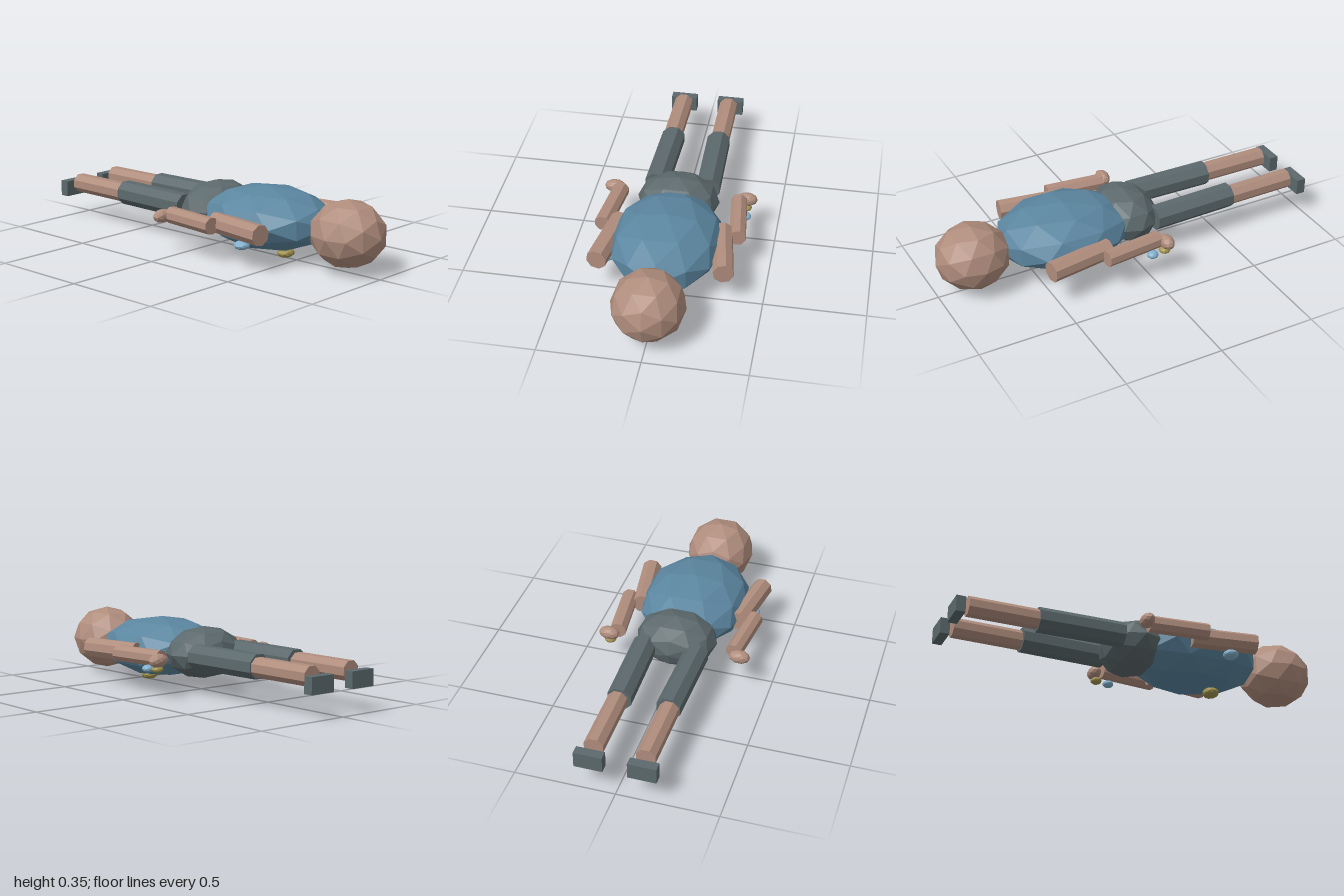
import * as THREE from 'three';

const mat = (name, color) => {
  const m = new THREE.MeshStandardMaterial({ color, flatShading: true });
  m.name = name;
  return m;
};

export function createModel() {
  const group = new THREE.Group();
  const skin = mat('skin', 0xb08d7d);
  const shirt = mat('shirt blue', 0x5b86a0);
  const trousers = mat('trouser grey', 0x5c696c);
  const yellow = mat('pebble yellow', 0xa0924d);
  const paleBlue = mat('pebble blue', 0x82b0cc);

  const add = (name, geometry, material) => {
    const mesh = new THREE.Mesh(geometry, material);
    mesh.name = name;
    group.add(mesh);
    return mesh;
  };

  // Faceted ellipsoid
  const blob = (name, material, pos, radii) => {
    const geo = new THREE.IcosahedronGeometry(1, 1).scale(...radii);
    add(name, geo, material).position.set(...pos);
  };

  // Eight-sided limb between two points
  const limb = (name, material, from, to, radius) => {
    const a = new THREE.Vector3(...from), b = new THREE.Vector3(...to);
    const dir = b.clone().sub(a);
    const geo = new THREE.CylinderGeometry(radius, radius, dir.length(), 8).rotateY(Math.PI / 8);
    const mesh = add(name, geo, material);
    mesh.position.copy(a).add(b).multiplyScalar(0.5);
    mesh.quaternion.setFromUnitVectors(new THREE.Vector3(0, 1, 0), dir.normalize());
  };

  // Body, lying flat with the head toward +z
  blob('head', skin, [0, 0.188, 0.81], [0.18, 0.167, 0.19]);
  blob('torso', shirt, [0, 0.19, 0.32], [0.28, 0.156, 0.36]);
  blob('pelvis', trousers, [0, 0.192, -0.02], [0.21, 0.133, 0.163]);

  // Arms and legs
  for (const [side, s] of [['left', 1], ['right', -1]]) {
    limb(side + 'UpperArm', skin, [s * 0.309, 0.188, 0.533], [s * 0.257, 0.188, 0.2], 0.052);
    limb(side + 'Forearm', skin, [s * 0.338, 0.19, 0.25], [s * 0.305, 0.19, -0.055], 0.043);
    blob(side + 'Hand', skin, [s * 0.342, 0.187, -0.08], [0.055, 0.035, 0.035]);
    limb(side + 'Thigh', trousers, [s * 0.134, 0.193, -0.123], [s * 0.123, 0.193, -0.57], 0.064);
    limb(side + 'Shin', skin, [s * 0.129, 0.192, -0.565], [s * 0.126, 0.192, -0.926], 0.051);
    add(side + 'Foot', new THREE.BoxGeometry(0.14, 0.082, 0.048), trousers)
      .position.set(s * 0.13, 0.163, -0.976);
  }

  // Small pebbles beneath the body
  blob('chestPebble', yellow, [0, 0.026, 0.43], [0.048, 0.026, 0.043]);
  blob('armPebble', paleBlue, [-0.29, 0.115, 0.4], [0.041, 0.023, 0.04]);
  blob('wristPebble', paleBlue, [0.345, 0.139, 0], [0.03, 0.02, 0.03]);
  blob('handPebble', yellow, [0.34, 0.143, -0.07], [0.03, 0.019, 0.03]);

  return group;
}
